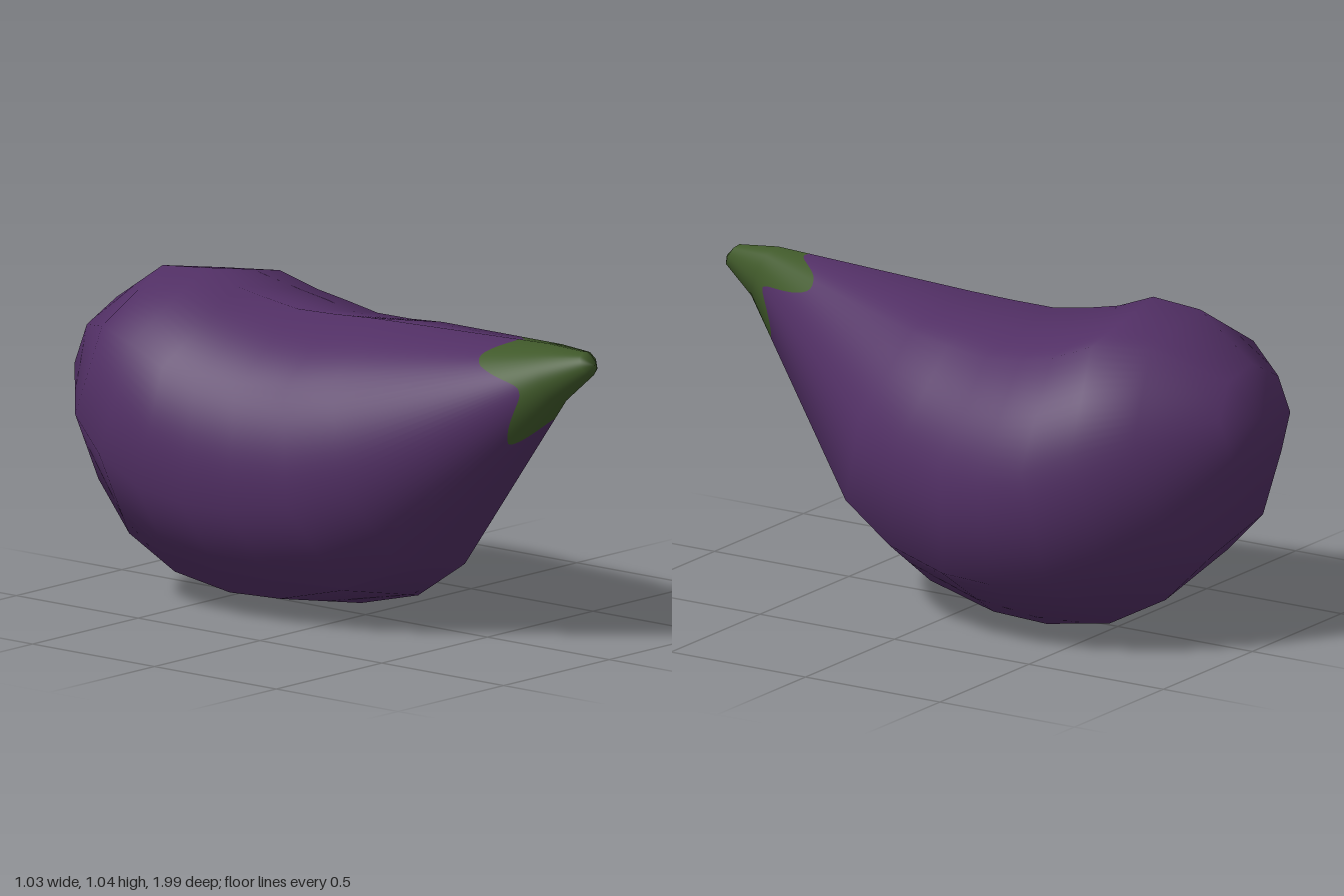
import * as THREE from 'three';

// Tilted cross-sections from stem tip to blunt end:
// top z, top y, bottom z, bottom y, left x, right x
const RINGS = [
  [0.995, 0.945, 0.995, 0.945, -0.062, -0.062],
  [0.955, 0.985, 0.985, 0.912, -0.102, -0.025],
  [0.82, 0.995, 0.87, 0.815, -0.16, 0.02],
  [0.10, 0.97, 0.34, 0.20, -0.40, 0.40],
  [-0.05, 0.963, 0.14, 0.07, -0.45, 0.45],
  [-0.20, 0.96, -0.10, 0.01, -0.49, 0.49],
  [-0.33, 0.98, -0.30, 0.003, -0.515, 0.512],
  [-0.43, 1.0, -0.53, 0.04, -0.52, 0.50],
  [-0.55, 1.045, -0.72, 0.14, -0.51, 0.45],
  [-0.72, 1.03, -0.87, 0.30, -0.44, 0.33],
  [-0.93, 0.895, -0.995, 0.58, -0.26, 0.12],
  [-0.995, 0.74, -0.995, 0.74, -0.06, -0.06],
];
const SIDES = 8, PHASE = 11, STEPS = 12;

// Ragged edge of the calyx: angle in degrees, ring position
const EDGE = [[50, 2.34], [95, 2.15], [130, 2.31], [190, 2.1], [240, 2.28],
  [285, 2.11], [325, 2.21], [371, 2.08], [410, 2.34]];

function calyxEdge(deg) {
  const d = ((deg - 50) % 360 + 360) % 360 + 50;
  const k = EDGE.findIndex((e, i) => i > 0 && d <= e[0]);
  const [a, b] = [EDGE[k - 1], EDGE[k]];
  return THREE.MathUtils.lerp(a[1], b[1], THREE.MathUtils.smoothstep(d, a[0], b[0]));
}

// Eight-sided cage with smooth normals
function makeCage() {
  const pos = [], idx = [];
  for (const [tz, ty, bz, by, l, r] of RINGS) {
    for (let j = 0; j < SIDES; j++) {
      const a = THREE.MathUtils.degToRad(PHASE + j * 360 / SIDES);
      const c = Math.cos(a) / 0.98, s = Math.sin(a) / 0.98;
      pos.push((l + r) / 2 + c * (r - l) / 2,
        (ty + by) / 2 + s * (ty - by) / 2, (tz + bz) / 2 + s * (tz - bz) / 2);
    }
  }
  for (let i = 0; i < RINGS.length - 1; i++) {
    for (let j = 0; j < SIDES; j++) {
      const n = (j + 1) % SIDES, a = i * SIDES, b = a + SIDES;
      idx.push(a + j, b + j, a + n, a + n, b + j, b + n);
    }
  }
  const g = new THREE.BufferGeometry();
  g.setAttribute('position', new THREE.Float32BufferAttribute(pos, 3));
  g.setIndex(idx);
  g.computeVertexNormals();
  const last = (RINGS.length - 1) * SIDES;
  for (let j = 0; j < SIDES; j++) {
    g.attributes.normal.setXYZ(j, 0, 0.2, 0.98);
    g.attributes.normal.setXYZ(last + j, 0, 0.1, -0.99);
  }
  return g;
}

// Point or normal on the cage at ring position u and side position v
function sample(attr, u, v) {
  const i = Math.min(Math.floor(u), RINGS.length - 2), j = Math.floor(v) % SIDES;
  const n = (j + 1) % SIDES, fv = v - Math.floor(v);
  const at = (r, c) => new THREE.Vector3().fromBufferAttribute(attr, r * SIDES + c);
  return at(i, j).lerp(at(i, n), fv).lerp(at(i + 1, j).lerp(at(i + 1, n), fv), u - i);
}

// Surface patch through rows, each row giving u for an angle
function patch(cage, rows) {
  const pos = [], nor = [], idx = [], cols = SIDES * STEPS;
  rows.forEach((row, i) => {
    for (let j = 0; j <= cols; j++) {
      const v = j / STEPS, u = row(PHASE + v * 360 / SIDES);
      pos.push(...sample(cage.attributes.position, u, v).toArray());
      nor.push(...sample(cage.attributes.normal, u, v).normalize().toArray());
      if (i && j) {
        const b = i * (cols + 1) + j, a = b - cols - 1;
        idx.push(a - 1, b - 1, a, a, b - 1, b);
      }
    }
  });
  const g = new THREE.BufferGeometry();
  g.setAttribute('position', new THREE.Float32BufferAttribute(pos, 3));
  g.setAttribute('normal', new THREE.Float32BufferAttribute(nor, 3));
  g.setIndex(idx);
  return g;
}

export function createModel() {
  const purple = new THREE.MeshStandardMaterial({ color: 0x512f64 });
  purple.name = 'aubergine purple';
  const green = new THREE.MeshStandardMaterial({ color: 0x40592a });
  green.name = 'calyx green';

  const group = new THREE.Group();
  group.name = 'aubergine';
  const cage = makeCage();
  const add = (name, rows, material) => {
    const mesh = new THREE.Mesh(patch(cage, rows), material);
    mesh.name = name;
    group.add(mesh);
  };
  // Green cap at the stem, then the fruit from the cap's edge to the blunt end
  add('calyx', [() => 0, () => 1, () => 2, calyxEdge], green);
  add('fruit', [calyxEdge, ...RINGS.slice(3).map((_, i) => () => i + 3)], purple);
  return group;
}
